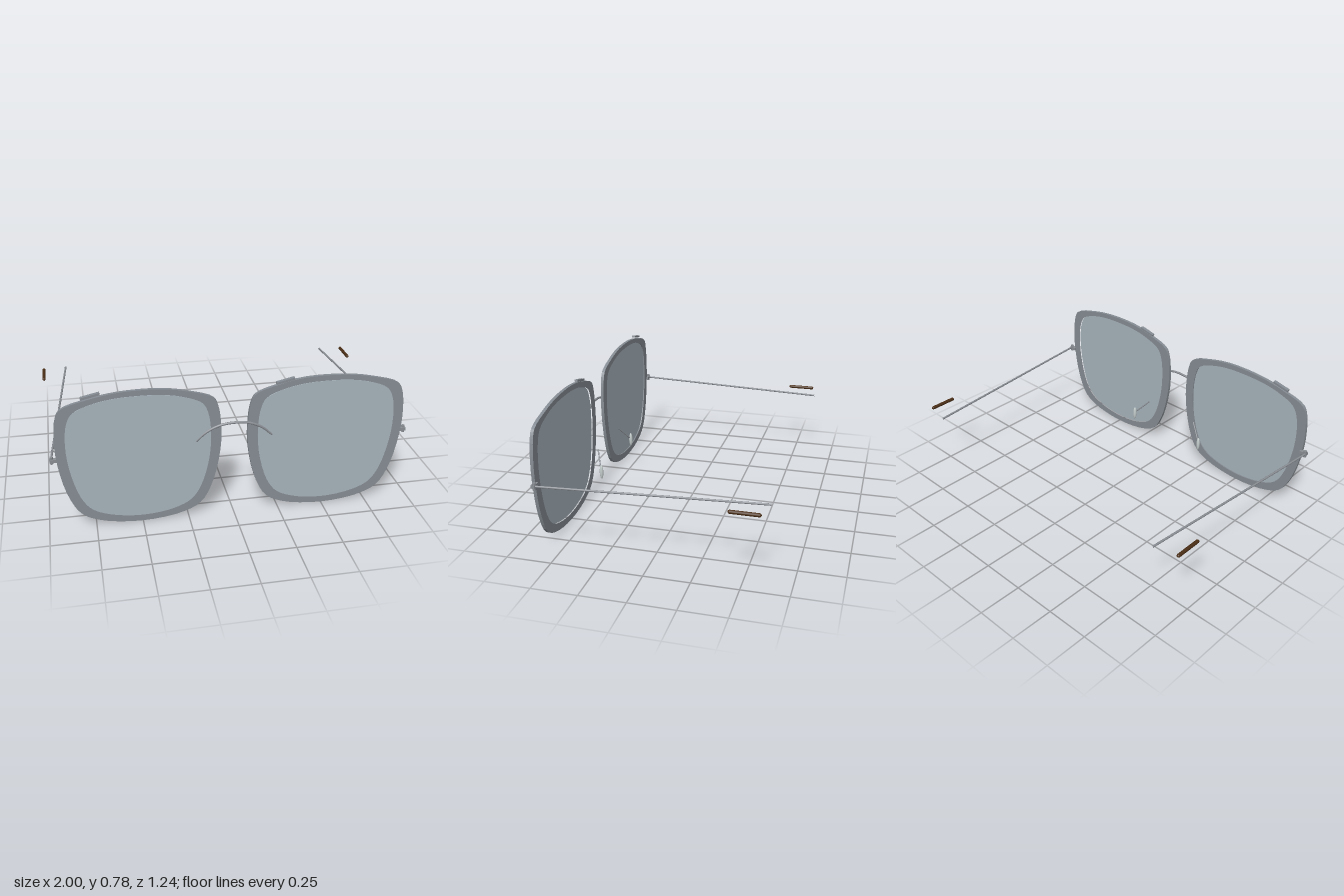
import * as THREE from 'three';

const material = (name, color, side = THREE.FrontSide) => {
  const m = new THREE.MeshStandardMaterial({ color, side });
  m.name = name;
  return m;
};

// Closed smooth outline through a few points
function outline(points, divisions = 72) {
  const curve = new THREE.CatmullRomCurve3(
    points.map(([x, y]) => new THREE.Vector3(x, y, 0)), true, 'centripetal');
  return curve.getPoints(divisions).slice(0, -1).map(p => new THREE.Vector2(p.x, p.y));
}

// Rim and lens edges of the +x side, clockwise from the top
const RIM = [[0.49, 0.78], [0.63, 0.772], [0.75, 0.75], [0.895, 0.703], [0.922, 0.65], [0.936, 0.53],
  [0.93, 0.40], [0.89, 0.21], [0.825, 0.085], [0.72, 0.03], [0.505, 0.002], [0.285, 0.03],
  [0.18, 0.085], [0.115, 0.21], [0.073, 0.42], [0.073, 0.56], [0.085, 0.65], [0.11, 0.703], [0.24, 0.75], [0.36, 0.774]];
const LENS = [[0.49, 0.75], [0.62, 0.745], [0.73, 0.725], [0.835, 0.68], [0.868, 0.62], [0.882, 0.5],
  [0.867, 0.34], [0.82, 0.18], [0.765, 0.105], [0.66, 0.06], [0.5, 0.04], [0.34, 0.06],
  [0.24, 0.105], [0.185, 0.18], [0.138, 0.34], [0.126, 0.5], [0.14, 0.62], [0.17, 0.68], [0.275, 0.725], [0.38, 0.745]];

export function createModel() {
  const model = new THREE.Group();
  model.name = 'glasses';
  const rimMat = material('smoky grey rim', 0x858c93);
  const lensMat = material('pale blue grey lens', 0xa7b3bb);
  const metalMat = material('grey metal', 0x8a8f95);
  const tipMat = material('dark brown tip', 0x4a2d14);
  const padMat = material('clear pad', 0xc3cccb);

  const add = (name, geometry, mat, parent = model) => {
    const mesh = new THREE.Mesh(geometry, mat);
    mesh.name = name;
    parent.add(mesh);
    return mesh;
  };
  // Straight rod between two points
  const rod = (name, a, b, r, mat, parent) =>
    add(name, new THREE.TubeGeometry(
      new THREE.LineCurve3(new THREE.Vector3(...a), new THREE.Vector3(...b)), 1, r, 8), mat, parent);

  for (const s of [1, -1]) {
    const side = new THREE.Group();
    side.name = s > 0 ? 'leftSide' : 'rightSide';
    model.add(side);
    const mirror = pts => pts.map(([x, y]) => [x * s, y]);

    // Rim ring
    const rimShape = new THREE.Shape(outline(mirror(RIM)));
    rimShape.holes.push(new THREE.Path(outline(mirror(LENS))));
    add('rim', new THREE.ExtrudeGeometry(rimShape, { depth: 0.018, bevelEnabled: false }), rimMat, side)
      .position.z = 0.588;

    // Lens, standing slightly proud of the rim
    add('lens', new THREE.ExtrudeGeometry(new THREE.Shape(outline(mirror(LENS))),
      { depth: 0.014, bevelEnabled: false }), lensMat, side).position.z = 0.595;

    // Small raised tab on the top edge
    const tab = add('rimTab', new THREE.BoxGeometry(0.1, 0.012, 0.02), rimMat, side);
    tab.position.set(s > 0 ? 0.27 : -0.74, 0.766, 0.597);
    tab.rotation.z = 0.22;

    // Hinge block and pin
    add('hinge', new THREE.BoxGeometry(0.045, 0.018, 0.022), metalMat, side)
      .position.set(s * 0.945, 0.412, 0.587);
    add('hingePin', new THREE.CylinderGeometry(0.009, 0.009, 0.04, 12), metalMat, side)
      .position.set(s * 0.957, 0.412, 0.584);

    // Temple arm and the separate ear tip
    rod('temple', [s * 0.96, 0.413, 0.585], [s * 0.852, 0.411, -0.62], 0.006, metalMat, side);
    const tip = add('earTip', new THREE.CapsuleGeometry(0.01, 0.145, 6, 12), tipMat, side);
    tip.position.set(s * 0.99, 0.417, -0.513);
    tip.rotation.x = Math.PI / 2;

    // Nose pad on its wire
    rod('padWire', [s * 0.183, 0.308, 0.537], [s * 0.265, 0.215, 0.492], 0.004, metalMat, side);
    const pad = add('nosePad', new THREE.SphereGeometry(1, 16, 12), padMat, side);
    pad.scale.set(0.011, 0.043, 0.011);
    pad.position.set(s * 0.268, 0.206, 0.488);
  }

  // Arched bridge wire, bowed forward at the middle
  const arch = new THREE.CatmullRomCurve3([[-0.205, 0.46, 0.604], [-0.15, 0.51, 0.608], [-0.08, 0.545, 0.613],
    [0, 0.555, 0.614], [0.08, 0.545, 0.613], [0.15, 0.51, 0.608], [0.205, 0.46, 0.604]]
    .map(p => new THREE.Vector3(...p)));
  add('bridge', new THREE.TubeGeometry(arch, 32, 0.007, 8), metalMat);

  return model;
}
